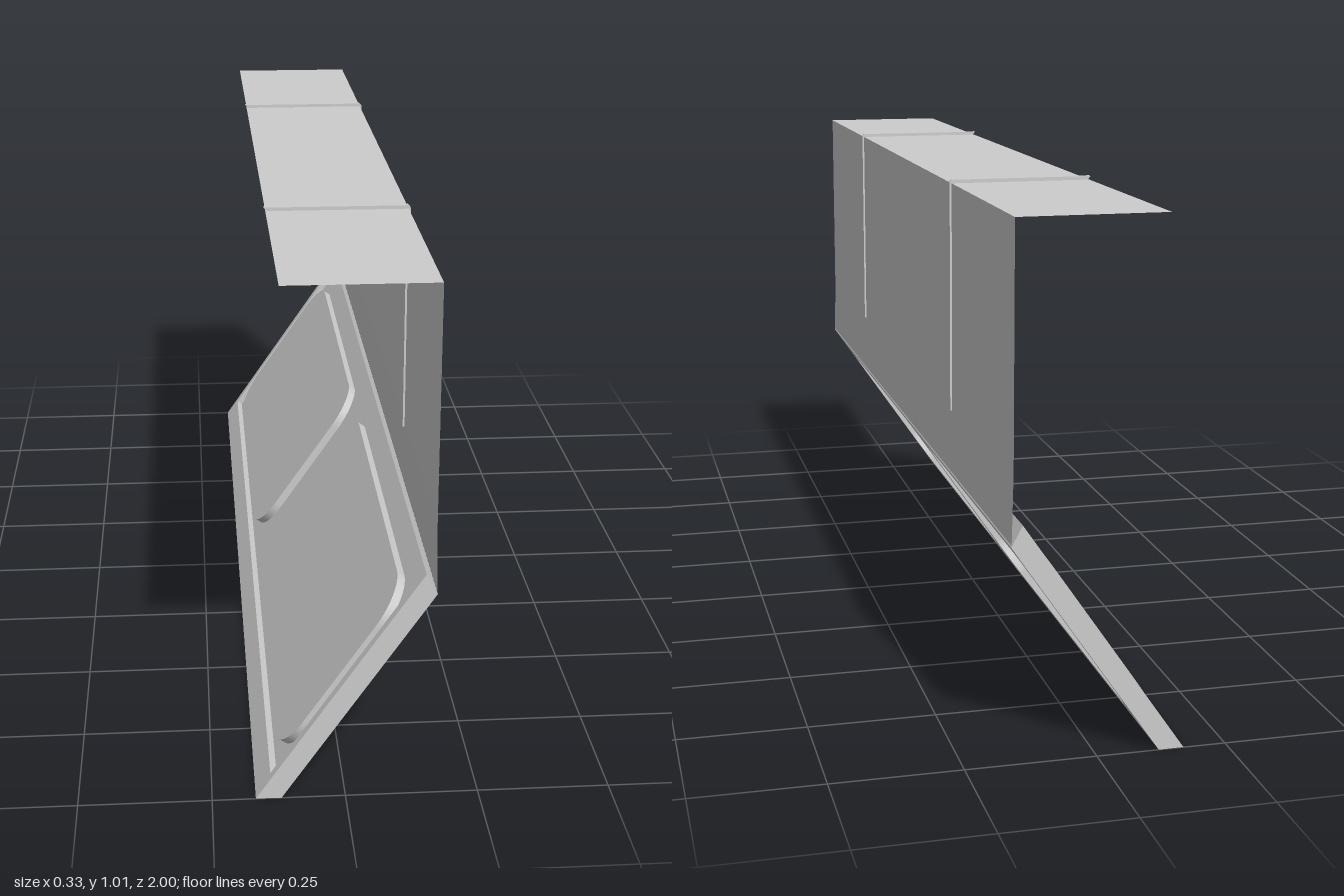
import * as THREE from 'three';

const grey = new THREE.MeshStandardMaterial({ color: 0xcccccc, flatShading: true });
const sheetGrey = new THREE.MeshStandardMaterial({ color: 0xcccccc, flatShading: true, side: THREE.DoubleSide });

// Rounded rectangle added to a shape or path
function roundRect(path, x0, x1, y0, y1, r) {
  path.moveTo(x0 + r, y0);
  path.lineTo(x1 - r, y0);
  path.absarc(x1 - r, y0 + r, r, -Math.PI / 2, 0);
  path.lineTo(x1, y1 - r);
  path.absarc(x1 - r, y1 - r, r, 0, Math.PI / 2);
  path.lineTo(x0 + r, y1);
  path.absarc(x0 + r, y1 - r, r, Math.PI / 2, Math.PI);
  path.lineTo(x0, y0 + r);
  path.absarc(x0 + r, y0 + r, r, Math.PI, Math.PI * 1.5);
  return path;
}

function rect(path, x0, x1, y0, y1) {
  path.moveTo(x0, y0);
  path.lineTo(x1, y0);
  path.lineTo(x1, y1);
  path.lineTo(x0, y1);
  path.closePath();
  return path;
}

// Extrude between two depths
function slab(shape, back, front) {
  const g = new THREE.ExtrudeGeometry(shape, { depth: front - back, bevelEnabled: false, curveSegments: 8 });
  return g.translate(0, 0, back);
}

function addMesh(parent, name, geometry, material = grey) {
  const mesh = new THREE.Mesh(geometry, material);
  mesh.name = name;
  parent.add(mesh);
  return mesh;
}

// Leaning lower panel: local x runs along the length, y up the slope, z outward
function createLowerPanel() {
  const panel = new THREE.Group();
  panel.name = 'lowerPanel';
  const height = 0.503, thickness = 0.04, floor = -0.025;

  // Slant the bottom and top end faces
  const slantEnds = (g) => {
    const p = g.attributes.position;
    for (let i = 0; i < p.count; i++) {
      const y = p.getY(i), n = p.getZ(i);
      if (Math.abs(y) < 1e-4) p.setY(i, y + n * 0.027 / thickness);
      if (Math.abs(y - height) < 1e-4) p.setY(i, y - n * 0.021 / thickness);
    }
    g.computeVertexNormals();
    return g;
  };

  // Outer plate with two rounded openings
  const plate = rect(new THREE.Shape(), -1, 1, 0, height);
  for (const s of [-1, 1]) {
    const c = s * 0.5015;
    plate.holes.push(roundRect(new THREE.Path(), c - 0.4485, c + 0.4485, 0.061, 0.449, 0.075));
  }
  addMesh(panel, 'outerPlate', slantEnds(slab(plate, floor, 0)));

  // Rim around the inner side
  const rim = rect(new THREE.Shape(), -1, 1, 0, height);
  rim.holes.push(rect(new THREE.Path(), -0.98, 0.98, 0.023, 0.482));
  addMesh(panel, 'innerRim', slantEnds(slab(rim, -thickness, floor)));

  // Pressed pockets that close the openings and stand out on the inner side
  for (const s of [-1, 1]) {
    const c = s * 0.5015;
    const pocket = roundRect(new THREE.Shape(), c - 0.458, c + 0.458, 0.051, 0.459, 0.085);
    addMesh(panel, 'pocket', slab(pocket, -0.042, floor));
  }

  const up = new THREE.Vector3(0.285, 0.415, 0).normalize();
  const out = new THREE.Vector3(up.y, -up.x, 0);
  const along = new THREE.Vector3().crossVectors(up, out);
  panel.quaternion.setFromRotationMatrix(new THREE.Matrix4().makeBasis(along, up, out));
  panel.position.set(-0.12, 0, 0);
  return panel;
}

// Thin folded sheet: a list of [x, y] points swept along z
function foldedSheet(points) {
  const pos = [], index = [];
  points.forEach(([x, y]) => pos.push(x, y, 1, x, y, -1));
  for (let i = 0; i < points.length - 1; i++) {
    const a = i * 2;
    index.push(a, a + 1, a + 3, a, a + 3, a + 2);
  }
  const g = new THREE.BufferGeometry();
  g.setAttribute('position', new THREE.Float32BufferAttribute(pos, 3));
  g.setIndex(index);
  const flat = g.toNonIndexed();
  flat.computeVertexNormals();
  return flat;
}

export function createModel() {
  const model = new THREE.Group();
  model.name = 'sidePanelAssembly';

  model.add(createLowerPanel());

  // Upright wall and roof
  addMesh(model, 'wall', foldedSheet([[0.164, 0.418], [0.161, 0.55], [0.161, 1.003]]), sheetGrey);
  addMesh(model, 'roof', foldedSheet([[0.161, 1.003], [-0.12, 1.003]]), sheetGrey);

  // Seam strips running over the roof and down the wall
  const strip = new THREE.Shape([
    [-0.123, 1.01], [-0.115, 1.001], [0.157, 1.001], [0.157, 0.545],
    [0.165, 0.545], [0.165, 1.005], [0.16, 1.01],
  ].map(([x, y]) => new THREE.Vector2(x, y)));
  for (const z of [-0.5, 0.5]) {
    addMesh(model, 'seamStrip', slab(strip, z - 0.007, z + 0.007));
  }
  return model;
}
